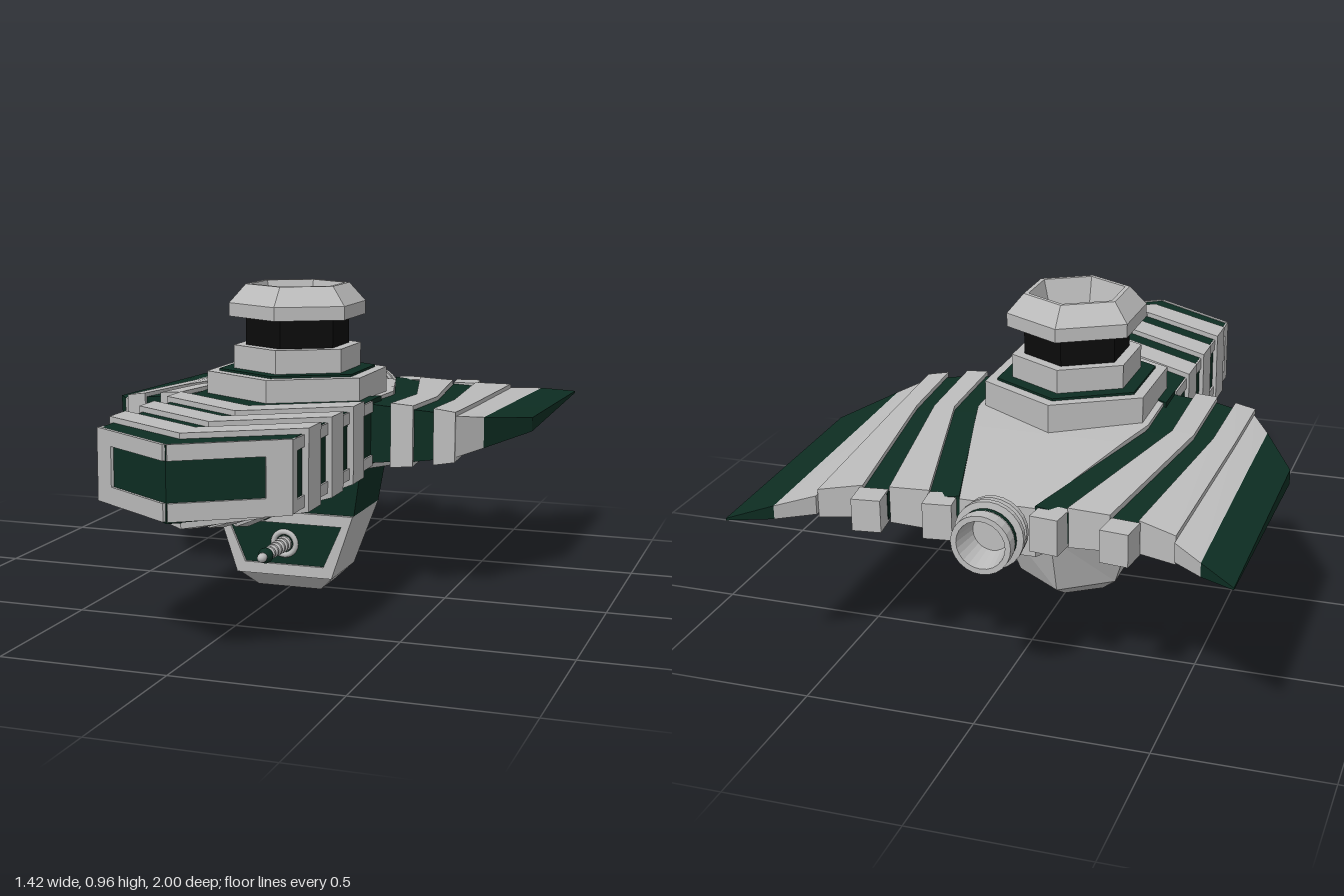
import * as THREE from 'three';

const mat = (name, color) => Object.assign(new THREE.MeshStandardMaterial({ color }), { name });

// Solid skinned through rings of equal point count, capped at both ends, flat faced.
function loft(rings) {
  const tris = [], n = rings[0].length;
  for (let r = 0; r + 1 < rings.length; r++) for (let i = 0; i < n; i++) {
    const j = (i + 1) % n, a = rings[r], b = rings[r + 1];
    tris.push([a[i], a[j], b[j]], [a[i], b[j], b[i]]);
  }
  const cap = (ring, flip) => {
    for (let i = 1; i + 1 < n; i++) tris.push(flip ? [ring[0], ring[i + 1], ring[i]] : [ring[0], ring[i], ring[i + 1]]);
  };
  cap(rings[0], true);
  cap(rings[rings.length - 1], false);
  // turn the whole solid outward when its signed volume is negative
  const v = p => new THREE.Vector3(...p);
  const volume = tris.reduce((s, [a, b, c]) => s + v(a).dot(v(b).cross(v(c))), 0);
  const pts = tris.flatMap(t => (volume < 0 ? [t[0], t[2], t[1]] : t)).flat();
  const geo = new THREE.BufferGeometry();
  geo.setAttribute('position', new THREE.Float32BufferAttribute(pts, 3));
  geo.computeVertexNormals();
  return geo;
}

// Mirror a geometry to the other side, keeping faces outward.
function mirrored(src) {
  const geo = src.index ? src.toNonIndexed() : src.clone();
  const p = geo.attributes.position, a = new THREE.Vector3(), b = new THREE.Vector3();
  geo.scale(-1, 1, 1);
  for (let i = 0; i < p.count; i += 3) {
    a.fromBufferAttribute(p, i + 1);
    b.fromBufferAttribute(p, i + 2);
    p.setXYZ(i + 1, b.x, b.y, b.z);
    p.setXYZ(i + 2, a.x, a.y, a.z);
  }
  geo.computeVertexNormals();
  return geo;
}

const HZ = -0.045; // centre of the tower
const hex = (r, y) => Array.from({ length: 6 }, (_, i) =>
  [r * Math.sin(i * Math.PI / 3), y, HZ + r * Math.cos(i * Math.PI / 3)]);
const path = pts => pts.map(p => new THREE.Vector2(...p));
const box = (w, h, d, x, y, z) => new THREE.BoxGeometry(w, h, d).translate(x, y, z);

export function createModel() {
  const model = new THREE.Group();
  const gray = mat('hullGray', 0xbcbcbc), green = mat('darkGreen', 0x0d2d22), black = mat('windowBlack', 0x0b0b0b);
  const add = (name, geo, m) => {
    const mesh = new THREE.Mesh(geo, m);
    mesh.name = name;
    model.add(mesh);
  };
  const pair = (name, geo, m) => {
    add(name + 'Left', geo, m);
    add(name + 'Right', mirrored(geo), m);
  };

  // Prow: arrow-shaped plan with a sloping keel, banded by raised chevrons
  const keel = z => Math.max(0.26, 0.41 - (0.99 - z) * 0.2);
  const slice = (e, o) => [
    [0, 0.62 + o, e + 0.19], [0.28 + o, 0.62 + o, e],
    [0.28 + o, 0.42 - o, e], [0, keel(e + 0.19) - o, e + 0.19]];
  pair('prow', loft([slice(-0.03, 0), slice(0.06, 0), slice(0.8, 0)]), green);
  for (const e of [0.2, 0.4, 0.6]) pair('chevron', loft([slice(e, 0.016), slice(e + 0.105, 0.016)]), gray);
  for (const y of [0.435, 0.602]) pair('prowSideRail', box(0.012, 0.034, 0.72, 0.28, y, 0.44), gray);
  pair('prowSidePost', box(0.012, 0.2, 0.035, 0.28, 0.52, 0.785), gray);
  // open frame wrapped around the two nose faces
  const L = Math.hypot(0.28, 0.19);
  const frame = new THREE.ExtrudeGeometry(new THREE.Shape(path([
    [0, 0.415], [L, 0.415], [L, 0.622], [0, 0.622], [0, 0.578], [0.265, 0.578], [0.265, 0.465], [0, 0.465]])),
  { depth: 0.012, bevelEnabled: false });
  frame.rotateY(Math.atan2(0.19, 0.28)).translate(0, 0, 0.986);
  pair('noseFrame', frame, gray);

  // Central hull tapering towards the stern
  const hullRing = (x, lo, hi, z) => [[-x, lo, z], [x, lo, z], [x, hi, z], [-x, hi, z]];
  add('centralHull', loft([
    hullRing(0.27, 0.41, 0.62, 0.09), hullRing(0.27, 0.37, 0.61, -0.2),
    hullRing(0.232, 0.345, 0.603, -0.34), hullRing(0.11, 0.42, 0.565, -0.78)]), gray);

  // Wing ribs; each border line: front x, z, half height; middle x, z; back x, z, half height
  const borders = [
    [0.265, 0.08, 0.092, 0.268, -0.22, 0.11, -0.78, 0.055],
    [0.345, 0.075, 0.085, 0.345, -0.22, 0.2, -0.79, 0.045],
    [0.415, 0.075, 0.08, 0.412, -0.22, 0.32, -0.79, 0.04],
    [0.475, 0.06, 0.073, 0.47, -0.22, 0.4, -0.79, 0.035],
    [0.54, 0.05, 0.063, 0.535, -0.22, 0.515, -0.84, 0.028],
    [0.602, -0.05, 0.048, 0.602, -0.3, 0.605, -0.92, 0.02],
    [0.71, -0.25, 0.022, 0.71, -0.55, 0.71, -1, 0.003]];
  const edge = ([fx, fz, fh, mx, mz, bx, bz, bh]) => {
    const t = (fz - mz) / (fz - bz);
    return [[fx, fz, fh], [mx, mz, fh + (bh - fh) * t], [bx, bz, bh]];
  };
  const ribs = [['wingGroove', green, 0], ['wingRib', gray, 0.014], ['wingGroove', green, 0],
    ['wingRib', gray, 0.014], ['wingOuterPanel', gray, 0], ['wingFin', green, 0]];
  ribs.forEach(([name, m, lift], i) => {
    const a = edge(borders[i]), b = edge(borders[i + 1]);
    pair(name, loft(a.map(([ax, az, ah], k) => {
      const [bx, bz, bh] = b[k], y = 0.518;
      return [[ax, y + ah + lift, az + lift], [bx, y + bh + lift, bz + lift],
        [bx, y - bh - lift, bz + lift], [ax, y - ah - lift, az + lift]];
    })), m);
  });
  // end blocks at the back of the grooves
  for (const [x, h, z] of [[0.158, 0.105, -0.8], [0.36, 0.095, -0.82]])
    pair('sternBlock', new THREE.BoxGeometry(0.083, h, 0.085).rotateY(0.12).translate(x, 0.516, z), gray);

  // Hexagonal tower
  add('towerBase', loft([hex(0.288, 0.58), hex(0.288, 0.69)]), gray);
  add('towerBaseTrim', loft([hex(0.25, 0.688), hex(0.25, 0.697)]), green);
  add('towerNeck', loft([hex(0.203, 0.69), hex(0.203, 0.77)]), gray);
  // hollow window band and cap: the last ring closes on the first
  const tube = (outer, inner) => {
    const shell = [...outer, ...inner, outer[0]].map(([r, y]) => hex(r, y));
    const parts = loft(shell);
    const p = parts.attributes.position.array;
    const sides = (shell.length - 1) * 6 * 2 * 9; // keep the walls, drop the end caps
    const geo = new THREE.BufferGeometry();
    geo.setAttribute('position', new THREE.Float32BufferAttribute(p.slice(0, sides), 3));
    geo.computeVertexNormals();
    return geo;
  };
  add('windowBand', tube([[0.165, 0.77], [0.165, 0.865]], [[0.122, 0.865], [0.122, 0.77]]), black);
  add('towerCap', tube([[0.218, 0.86], [0.218, 0.902], [0.165, 0.96]], [[0.15, 0.96], [0.122, 0.86]]), gray);
  add('towerFloor', loft([hex(0.13, 0.765), hex(0.13, 0.785)]), green);

  // Lower pod: flat front, pointed back
  const podRing = (y, x, front, side, back) =>
    [[-x, y, front], [x, y, front], [x, y, side], [0, y, back], [-x, y, side]];
  const waist = podRing(0.253, 0.225, 0.072, -0.19, -0.322);
  add('podCollar', loft([podRing(0.42, 0.252, 0.085, -0.2, -0.345), waist]), green);
  add('podBody', loft([waist, podRing(0.05, 0.157, 0.072, -0.15, -0.262),
    podRing(0, 0.105, 0.03, -0.11, -0.18)]), gray);
  const trapezoid = (x1, y1, x0, y0) => path([[-x0, y0], [x0, y0], [x1, y1], [-x1, y1]]);
  const podFrame = new THREE.Shape(trapezoid(0.225, 0.253, 0.157, 0.05));
  const panel = trapezoid(0.188, 0.218, 0.13, 0.085);
  podFrame.holes.push(new THREE.Path(panel));
  add('podFrame', new THREE.ExtrudeGeometry(podFrame, { depth: 0.014, bevelEnabled: false }).translate(0, 0, 0.072), gray);
  add('podPanel', new THREE.ExtrudeGeometry(new THREE.Shape(panel), { depth: 0.004, bevelEnabled: false })
    .translate(0, 0, 0.072), green);

  // Cannon on the pod front
  const turned = (pts, turn, y, z) => {
    const geo = new THREE.LatheGeometry(path(pts), 24).rotateX(turn * Math.PI / 2).translate(0, y, z).toNonIndexed();
    geo.computeVertexNormals();
    return geo;
  };
  add('cannonRing', new THREE.TorusGeometry(0.037, 0.009, 8, 24).translate(0, 0.152, 0.08), gray);
  const barrel = [[0, 0]];
  for (let i = 0; i < 6; i++) {
    const d = i * 0.026, r = 0.025 - i * 0.001;
    barrel.push([0.014, d], [r, d + 0.006], [r, d + 0.016], [0.014, d + 0.022]);
  }
  barrel.push([0.01, 0.205], [0, 0.205]);
  add('cannonBarrel', turned(barrel, 1, 0.152, 0.076), gray);
  add('cannonBall', new THREE.SphereGeometry(0.024, 16, 12).translate(0, 0.152, 0.25), green);
  add('cannonTip', new THREE.SphereGeometry(0.015, 12, 8).scale(1, 1, 1.4).translate(0, 0.152, 0.279), gray);

  // Ribbed hollow engine at the stern
  add('engine', turned([[0, 0], [0.07, 0], [0.07, 0.018], [0.096, 0.02], [0.096, 0.036], [0.075, 0.04],
    [0.075, 0.056], [0.1, 0.058], [0.1, 0.074], [0.078, 0.078], [0.078, 0.098], [0.086, 0.102],
    [0.086, 0.14], [0.07, 0.14], [0.055, 0.05], [0, 0.05]], -1, 0.5, -0.775), gray);
  for (const d of [0.048, 0.088])
    add('engineBand', new THREE.CylinderGeometry(0.083, 0.083, 0.014, 24, 1, true)
      .rotateX(Math.PI / 2).translate(0, 0.5, -0.775 - d), green);

  return model;
}
